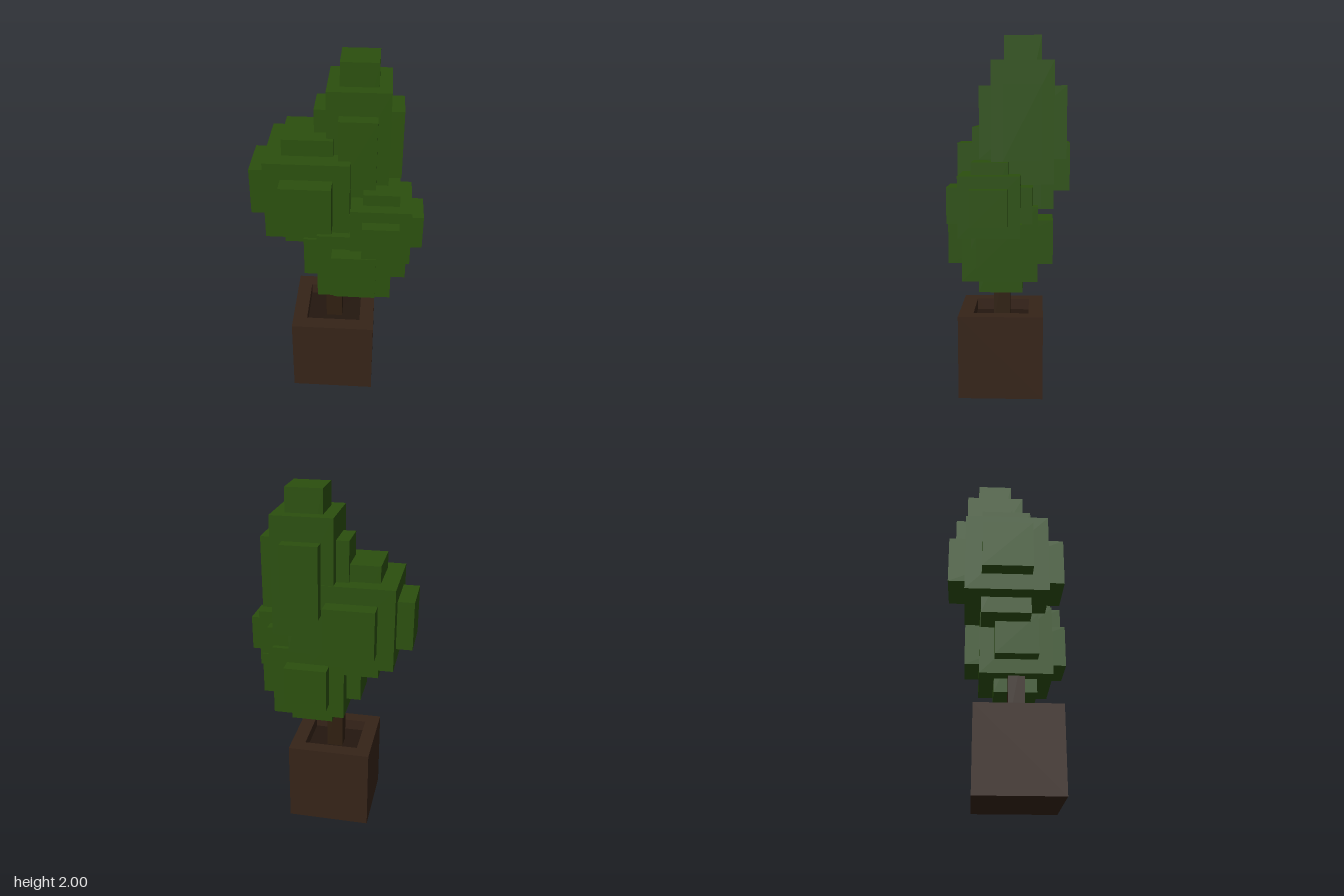
import * as THREE from 'three';

const material = (color) => new THREE.MeshStandardMaterial({ color, flatShading: true });
const leafMat = material(0x2b4f0e);
const potMat = material(0x352318);
const soilMat = material(0x23170f);
const trunkMat = material(0x2f1f10);

function box(parent, name, mat, size, pos) {
  const mesh = new THREE.Mesh(new THREE.BoxGeometry(...size), mat);
  mesh.name = name;
  mesh.position.set(...pos);
  parent.add(mesh);
}

// A leaf clump: a cube with a smaller square block running out through each pair of faces
function leafClump(name, center, core, pad, reach) {
  const clump = new THREE.Group();
  clump.name = name;
  clump.position.set(...center);
  box(clump, 'clumpCore', leafMat, core, [0, 0, 0]);
  ['sidePads', 'topAndBottomPads', 'frontAndBackPads'].forEach((padName, axis) => {
    const size = [...pad];
    size[axis] = reach[axis];
    box(clump, padName, leafMat, size, [0, 0, 0]);
  });
  return clump;
}

function square(Type, s) {
  const h = s / 2;
  return new Type([[-h, -h], [h, -h], [h, h], [-h, h]].map(([x, y]) => new THREE.Vector2(x, y)));
}

export function createModel() {
  const model = new THREE.Group();
  model.name = 'pottedTree';

  // Square pot with a sunken soil bed
  const pot = new THREE.Group();
  pot.name = 'pot';
  pot.position.set(-0.015, 0, 0.0525);
  const wallShape = square(THREE.Shape, 0.473);
  wallShape.holes.push(square(THREE.Path, 0.31));
  const wallGeo = new THREE.ExtrudeGeometry(wallShape, { depth: 0.475, bevelEnabled: false });
  wallGeo.rotateX(-Math.PI / 2);
  const walls = new THREE.Mesh(wallGeo, potMat);
  walls.name = 'potWalls';
  pot.add(walls);
  box(pot, 'potFloor', potMat, [0.31, 0.04, 0.31], [0, 0.02, 0]);
  box(pot, 'soil', soilMat, [0.31, 0.37, 0.31], [0, 0.225, 0]);
  model.add(pot);

  // Trunk, from the soil up into the lowest clump
  box(model, 'trunk', trunkMat, [0.093, 0.5, 0.093], [-0.016, 0.65, 0.0525]);

  // Foliage
  model.add(
    leafClump('topClump', [0.11, 1.545, -0.07], [0.332, 0.65, 0.334], [0.2, 0.39, 0.2], [0.47, 0.91, 0.47]),
    leafClump('rightClump', [-0.1525, 1.29, -0.013], [0.455, 0.455, 0.455], [0.273, 0.27, 0.273], [0.635, 0.64, 0.64]),
    leafClump('leftClump', [0.2425, 1.1125, 0.1025], [0.325, 0.325, 0.325], [0.195, 0.195, 0.195], [0.455, 0.455, 0.455]),
    leafClump('lowerClump', [0.1045, 0.9, 0.05], [0.406, 0.406, 0.406], [0.24, 0.24, 0.24], [0.57, 0.565, 0.57])
  );
  return model;
}
